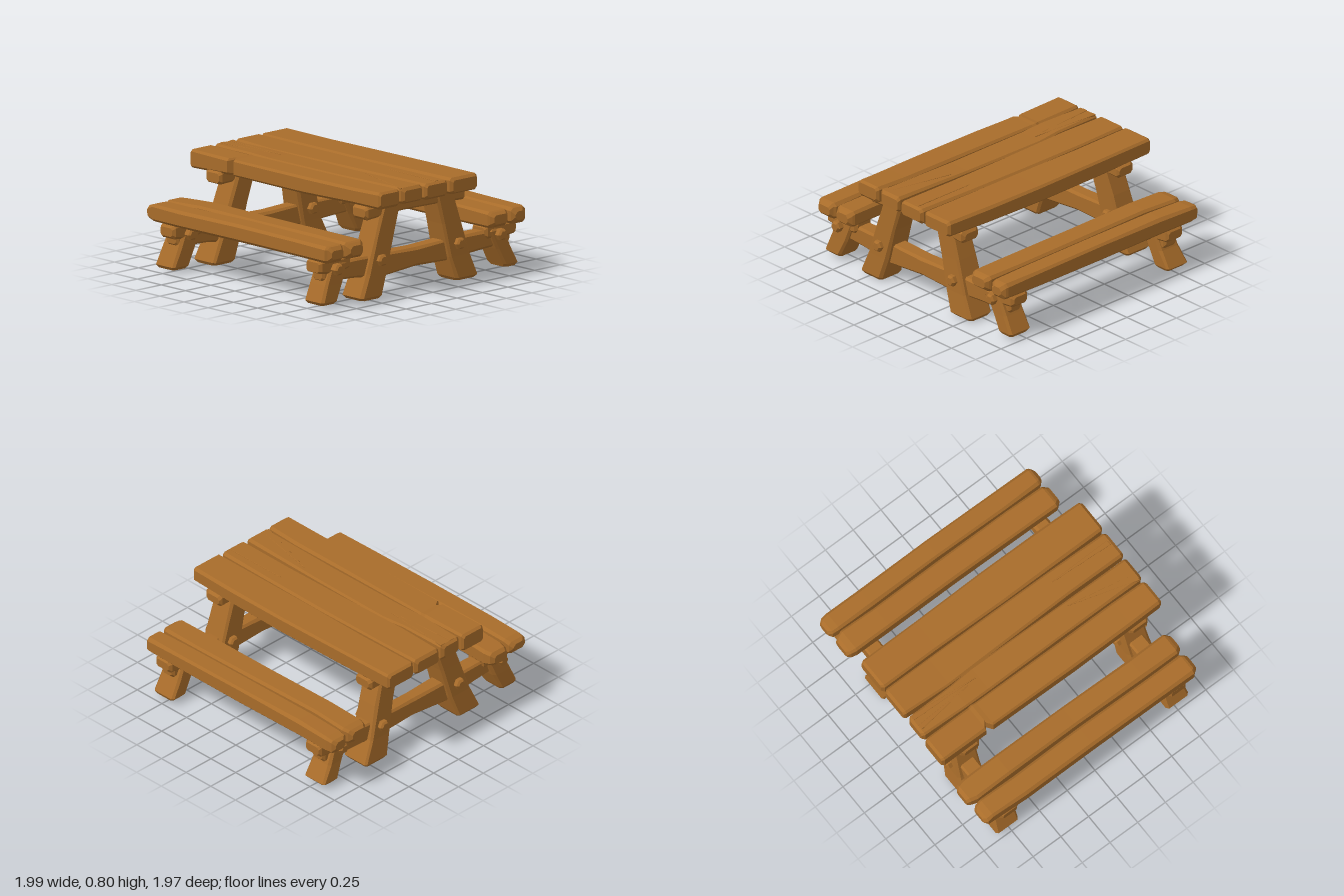
import * as THREE from 'three';

const wood = new THREE.MeshStandardMaterial({ color: 0xa86c2a, flatShading: true });
wood.name = 'warm wood';

// Small seeded generator for the hand-hewn unevenness
let seed = 7;
const jitter = (s) => {
  seed = (seed * 16807) % 2147483647;
  return (seed / 2147483647 - 0.5) * 2 * s;
};

// Axis orders for a beam running along x, y or z: (t, a, b) -> [x, y, z]
const alongX = (t, a, b) => [t, a, b];
const alongY = (t, a, b) => [b, t, a];
const alongZ = (t, a, b) => [a, b, t];

// Chamfered beam through stations [t, a0, a1, b0, b1]; both ends are bevelled
function beam(name, map, stations, c = 0.016, rough = 0.004) {
  const first = stations[0], last = stations[stations.length - 1];
  const inset = ([t, a0, a1, b0, b1], dt) => [t + dt, a0 + c, a1 - c, b0 + c, b1 - c];
  const body = stations.map((s) => [...s]);
  body[0][0] += c * 1.3;
  body[body.length - 1][0] -= c * 1.3;
  const rings = [inset(first, 0), ...body, inset(last, 0)];
  const pos = [], idx = [];
  for (const [t, p0, p1, q0, q1] of rings) {
    const a0 = p0 + jitter(rough), a1 = p1 + jitter(rough);
    const b0 = q0 + jitter(rough), b1 = q1 + jitter(rough);
    const k = c * (1 + jitter(rough * 60));
    const section = [[a0 + k, b0], [a1 - k, b0], [a1, b0 + k], [a1, b1 - k],
      [a1 - k, b1], [a0 + k, b1], [a0, b1 - k], [a0, b0 + k]];
    for (const [a, b] of section) pos.push(...map(t, a, b));
  }
  for (let i = 0; i < rings.length - 1; i++) {
    for (let j = 0; j < 8; j++) {
      const p = i * 8 + j, q = i * 8 + (j + 1) % 8;
      idx.push(p, q, q + 8, p, q + 8, p + 8);
    }
  }
  const e = (rings.length - 1) * 8;
  for (let j = 1; j < 7; j++) idx.push(0, j + 1, j, e, e + j, e + j + 1);
  const g = new THREE.BufferGeometry();
  g.setAttribute('position', new THREE.Float32BufferAttribute(pos, 3));
  g.setIndex(idx);
  const flat = g.toNonIndexed();
  flat.computeVertexNormals();
  const mesh = new THREE.Mesh(flat, wood);
  mesh.name = name;
  return mesh;
}

// Hexagonal peg passing through a leg, with a head on each side
function peg(x, y, z) {
  const group = new THREE.Group();
  group.name = 'peg';
  const add = (r0, r1, len, dx) => {
    const m = new THREE.Mesh(new THREE.CylinderGeometry(r0, r1, len, 6), wood);
    m.rotation.z = -Math.PI / 2;
    m.position.x = dx;
    group.add(m);
  };
  add(0.044, 0.044, 0.25, 0);
  add(0.03, 0.044, 0.014, 0.132);
  add(0.044, 0.03, 0.014, -0.132);
  group.position.set(x, y, z);
  return group;
}

function buildTableTop() {
  const top = new THREE.Group();
  top.name = 'tableTop';
  top.add(
    beam('tablePlank', alongX, [
      [-0.995, 0.685, 0.81, -0.45, -0.19], [-0.5, 0.675, 0.803, -0.455, -0.19],
      [0.1, 0.675, 0.803, -0.46, -0.185], [0.6, 0.68, 0.806, -0.46, -0.185], [0.995, 0.69, 0.81, -0.455, -0.19]]),
    beam('tablePlank', alongX, [
      [-0.995, 0.685, 0.806, -0.17, 0.065], [-0.6, 0.68, 0.803, -0.172, 0.075],
      [0, 0.675, 0.802, -0.178, 0.062], [0.5, 0.68, 0.804, -0.17, 0.055], [0.99, 0.69, 0.806, -0.165, 0.06]]),
    beam('tablePlank', alongX, [
      [-0.99, 0.685, 0.806, 0.095, 0.275], [-0.6, 0.68, 0.804, 0.09, 0.283],
      [-0.4, 0.678, 0.802, 0.072, 0.28], [0.3, 0.678, 0.802, 0.078, 0.277], [0.985, 0.69, 0.808, 0.08, 0.278]]),
    // Front plank has a split notch in its outer edge
    beam('notchedTablePlank', alongX, [
      [-0.995, 0.667, 0.806, 0.295, 0.51], [-0.6, 0.675, 0.803, 0.293, 0.512],
      [-0.57, 0.675, 0.8, 0.293, 0.455], [-0.535, 0.675, 0.8, 0.293, 0.51],
      [0.2, 0.678, 0.802, 0.3, 0.512], [0.7, 0.685, 0.806, 0.296, 0.514], [0.985, 0.69, 0.81, 0.297, 0.51]]),
  );
  // Raised slivers where the grain has split: x0, x1, z at each end, width at the start
  for (const [x0, x1, z0, z1, w] of [
    [-0.97, -0.42, 0.12, 0.15, 0.02], [-0.97, -0.5, 0.21, 0.165, 0.02],
    [0.96, 0.43, 0.25, 0.12, 0.03], [0.96, 0.45, -0.08, -0.09, 0.02]]) {
    const s = [[x0, 0.79, 0.811, z0 - w, z0 + w], [x1, 0.79, 0.806, z1 - 0.003, z1 + 0.003]];
    if (x0 > x1) s.reverse();
    top.add(beam('grainSplit', alongX, s, 0.002, 0));
  }
  return top;
}

function buildBench(name, planks, chipped) {
  const bench = new THREE.Group();
  bench.name = name;
  planks.forEach(([z0, z1], i) => {
    const chip = chipped && i === 1 ? 0.04 : 0;
    bench.add(beam('benchPlank', alongX, [
      [-0.97 + 0.008 * i, 0.368 + chip * 0.3, 0.478, z0 + 0.012, z1 - 0.01],
      [-0.89, 0.362, 0.484, z0, z1 - chip * 0.2],
      [-0.6, 0.36, 0.492, z0 + 0.004, z1],
      [0, 0.362, 0.492, z0, z1 - 0.004],
      [0.6, 0.36, 0.487, z0 + 0.003, z1],
      [0.91, 0.36, 0.482, z0 + 0.002, z1 - 0.002],
      [0.953, 0.366, 0.476, z0 + 0.012, z1 - 0.012]], 0.02));
  });
  return bench;
}

// One end frame: rails, A-shaped table legs and short bench legs
function buildFrame(name, x, lean) {
  const frame = new THREE.Group();
  frame.name = name;
  const at = (y) => x + lean * (y - 0.35);
  frame.add(
    beam('lowerRail', alongZ, [
      [-0.92, x - 0.06, x + 0.06, 0.2, 0.32], [-0.6, x - 0.062, x + 0.062, 0.19, 0.322],
      [-0.32, x - 0.062, x + 0.062, 0.17, 0.32], [0, x - 0.06, x + 0.06, 0.175, 0.312],
      [0.33, x - 0.062, x + 0.062, 0.15, 0.32], [0.6, x - 0.062, x + 0.062, 0.185, 0.322],
      [0.92, x - 0.06, x + 0.06, 0.2, 0.32]]),
    beam('upperRail', alongZ, [
      [-0.46, x - 0.075, x + 0.085, 0.595, 0.69], [-0.2, x - 0.075, x + 0.08, 0.605, 0.69],
      [0.15, x - 0.075, x + 0.08, 0.61, 0.69], [0.52, x - 0.075, x + 0.085, 0.592, 0.69]]),
  );
  // Leg stations: height, z range, half width
  const leg = (partName, rows) => beam(partName, alongY,
    rows.map(([y, z0, z1, h]) => [y, z0, z1, at(y) - h, at(y) + h]), 0.018);
  frame.add(
    leg('frontLeg', [[0.01, 0.37, 0.587, 0.112], [0.2, 0.315, 0.515, 0.1], [0.45, 0.25, 0.435, 0.095], [0.7, 0.18, 0.36, 0.092]]),
    leg('backLeg', [[0.015, -0.56, -0.34, 0.112], [0.2, -0.485, -0.29, 0.1], [0.45, -0.41, -0.225, 0.095], [0.7, -0.335, -0.16, 0.092]]),
    leg('frontBenchLeg', [[0.035, 0.81, 0.97, 0.1], [0.18, 0.755, 0.92, 0.095], [0.34, 0.705, 0.86, 0.09]]),
    leg('backBenchLeg', [[0.035, -0.97, -0.825, 0.1], [0.18, -0.9, -0.76, 0.095], [0.34, -0.84, -0.69, 0.09]]),
  );
  // Blocks carrying the bench planks
  for (const [z0, z1] of [[0.66, 0.972], [-0.968, -0.66]]) {
    frame.add(beam('benchBlock', alongZ, [
      [z0, x - 0.075, x + 0.08, 0.27, 0.365], [(z0 + z1) / 2, x - 0.08, x + 0.08, 0.25, 0.365],
      [z1, x - 0.075, x + 0.08, 0.265, 0.365]]));
  }
  for (const z of [0.395, 0.825, -0.37, -0.78]) frame.add(peg(at(0.29), 0.29, z));
  return frame;
}

export function createModel() {
  seed = 7;
  const model = new THREE.Group();
  model.name = 'picnicTable';
  model.add(
    buildTableTop(),
    buildBench('frontBench', [[0.61, 0.79], [0.805, 0.98]], true),
    buildBench('backBench', [[-0.985, -0.825], [-0.812, -0.62]], false),
    buildFrame('rightFrame', -0.745, 0.06),
    buildFrame('leftFrame', 0.775, 0),
  );
  return model;
}
